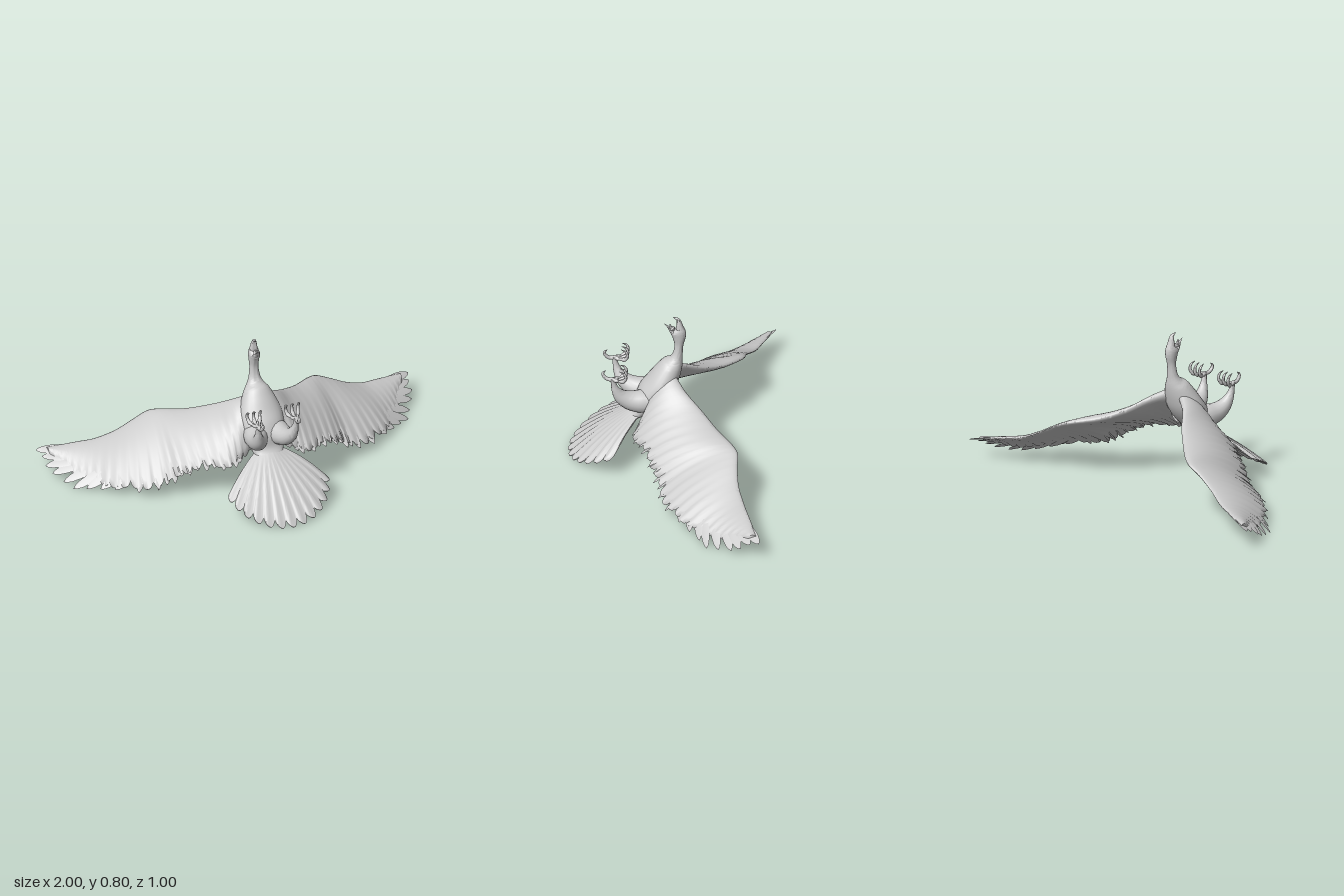
import * as THREE from 'three';
import { toCreasedNormals } from 'three/addons/utils/BufferGeometryUtils.js';

const V = (x, y, z) => new THREE.Vector3(x, y, z);
const material = new THREE.MeshStandardMaterial({ color: 0xcccccc, side: THREE.DoubleSide });

// Closed skin over a row of rings; m = -1 mirrors it across x
function loft(name, rings, m = 1) {
  const n = rings[0].length, pos = [], idx = [];
  const put = p => pos.push(p.x * m, p.y, p.z);
  rings.forEach(r => r.forEach(put));
  for (let i = 0; i + 1 < rings.length; i++) {
    for (let j = 0; j < n; j++) {
      const a = i * n + j, b = i * n + (j + 1) % n;
      idx.push(a, b, a + n, b, b + n, a + n);
    }
  }
  for (const end of [0, rings.length - 1]) {
    const c = pos.length / 3, mid = V(0, 0, 0);
    rings[end].forEach(p => mid.addScaledVector(p, 1 / n));
    put(mid);
    for (let j = 0; j < n; j++) {
      const a = end * n + j, b = end * n + (j + 1) % n;
      if (end) idx.push(a, b, c); else idx.push(b, a, c);
    }
  }
  // Turn all faces outward by the sign of the enclosed volume
  let vol = 0;
  const at = i => V(pos[i * 3], pos[i * 3 + 1], pos[i * 3 + 2]);
  for (let i = 0; i < idx.length; i += 3) vol += at(idx[i]).dot(at(idx[i + 1]).cross(at(idx[i + 2])));
  if (vol < 0) idx.reverse();
  const geo = new THREE.BufferGeometry();
  geo.setAttribute('position', new THREE.Float32BufferAttribute(pos, 3));
  geo.setIndex(idx);
  const mesh = new THREE.Mesh(toCreasedNormals(geo, 1.1), material);
  mesh.name = name;
  return mesh;
}

// Elliptic sections between a back line and a front line; row = [zBack, yBack, zFront, yFront, halfWidth]
function spine(rows, steps, sides = 24) {
  const back = new THREE.CatmullRomCurve3(rows.map(r => V(0, r[1], r[0])));
  const front = new THREE.CatmullRomCurve3(rows.map(r => V(r[4], r[3], r[2])));
  return Array.from({ length: steps + 1 }, (_, i) => {
    const a = back.getPoint(i / steps), b = front.getPoint(i / steps);
    const w = Math.max(b.x, 0.001);
    b.x = 0;
    return Array.from({ length: sides }, (_, j) => {
      const g = j / sides * Math.PI * 2;
      const p = a.clone().lerp(b, 0.5 - 0.5 * Math.cos(g));
      p.x = w * Math.sin(g);
      return p;
    });
  });
}

// Round limb of changing radius; row = [x, y, z, radius]
function limb(rows, steps, sides) {
  const curve = new THREE.CatmullRomCurve3(rows.map(r => V(r[0], r[1], r[2])));
  const radius = new THREE.CatmullRomCurve3(rows.map(r => V(r[3], 0, 0)));
  return Array.from({ length: steps + 1 }, (_, i) => {
    const u = i / steps, c = curve.getPoint(u), t = curve.getTangent(u);
    const r = Math.max(radius.getPoint(u).x, 0.0008);
    const s = t.clone().cross(V(1, 0, 0)).normalize(), q = t.clone().cross(s);
    return Array.from({ length: sides }, (_, j) => {
      const g = j / sides * Math.PI * 2;
      return c.clone().addScaledVector(s, r * Math.cos(g)).addScaledVector(q, r * Math.sin(g));
    });
  });
}

// Thin sheet: P(u, v) gives its middle, thick(u, v) its half thickness along dir
function sheet(P, thick, dir, nu, nv) {
  return Array.from({ length: nu + 1 }, (_, i) => {
    const u = i / nu, ring = [];
    for (let j = 0; j <= nv; j++) ring.push(P(u, j / nv).addScaledVector(dir, thick(u, j / nv)));
    for (let j = nv; j >= 0; j--) ring.push(P(u, j / nv).addScaledVector(dir, -thick(u, j / nv)));
    return ring;
  });
}

const wingUp = V(0, 0.85, 0.5).normalize();

// Single feather from a to b, half width w, lying in the plane of the wing
function feather(a, b, w) {
  const side = b.clone().sub(a).cross(wingUp).normalize();
  return [[0, 0.6], [0.3, 1], [0.6, 1], [0.8, 0.8], [0.93, 0.45], [1, 0.03]].map(([t, k]) => {
    const c = a.clone().lerp(b, t), h = 0.006 * (1 - t) + 0.001;
    return [c.clone().addScaledVector(side, w * k), c.clone().addScaledVector(wingUp, h),
      c.clone().addScaledVector(side, -w * k), c.clone().addScaledVector(wingUp, -h)];
  });
}

// 1 at a feather's tip, 0 in the notch between two feathers
const tipShape = k => 1 - Math.abs(2 * (k - Math.floor(k)) - 1) ** 2.5;

// Wing stations: leading edge, then trailing edge
const stations = [
  [0.02, 0.49, -0.03, 0.05, 0.27, 0.08], [0.12, 0.435, -0.095, 0.14, 0.23, 0.145],
  [0.2, 0.375, -0.18, 0.21, 0.215, 0.16], [0.3, 0.325, -0.265, 0.31, 0.2, 0.11],
  [0.4, 0.3, -0.345, 0.41, 0.16, 0.058], [0.45, 0.287, -0.37, 0.5, 0.095, 0.022],
  [0.53, 0.25, -0.373, 0.62, 0.065, -0.022], [0.62, 0.2, -0.383, 0.72, 0.053, -0.095],
  [0.72, 0.155, -0.415, 0.8, 0.042, -0.195], [0.8, 0.14, -0.44, 0.86, 0.04, -0.275],
  [0.88, 0.125, -0.465, 0.9, 0.065, -0.36], [0.95, 0.112, -0.485, 0.945, 0.09, -0.44],
];
const lead = new THREE.CatmullRomCurve3(stations.map(s => V(s[0], s[1], s[2])));
const trail = new THREE.CatmullRomCurve3(stations.map(s => V(s[3], s[4], s[5])));
function wingPoint(u, t) {
  const camber = 0.14 * (1 - 0.75 * u) * t * (1 - t);
  return lead.getPoint(u).lerp(trail.getPoint(u), t).addScaledVector(wingUp, camber);
}

function addWing(group, m) {
  const edge = u => 1 + 0.02 * Math.sin(u * 40) - (0.03 + 0.09 * u) * (1 - tipShape(u * 24));
  const surface = (u, v) => {
    const t = v ** 1.5 * edge(u);
    return wingPoint(u, t).addScaledVector(wingUp, 0.0025 * t * t * Math.sin(u * 24 * Math.PI * 2));
  };
  const thick = (u, v) => {
    const t = v ** 1.5;
    return (0.034 * (1 - u) ** 1.3 + 0.008) * 2.6 * Math.sqrt(t) * (1 - t) + 0.0012;
  };
  group.add(loft('wing', sheet(surface, thick, wingUp, 168, 14), m));

  // Long finger feathers: tip x, y, z, then root station and chord position
  const fingers = [
    [1, 0.1, -0.5, 0.86, 0.2], [0.985, 0.085, -0.455, 0.84, 0.45], [0.985, 0.058, -0.405, 0.8, 0.5],
    [0.965, 0.035, -0.36, 0.76, 0.55], [0.93, 0.015, -0.295, 0.7, 0.6], [0.9, 0.004, -0.235, 0.66, 0.65],
    [0.845, 0.015, -0.195, 0.62, 0.65], [0.79, 0.03, -0.145, 0.58, 0.7], [0.73, 0.045, -0.09, 0.54, 0.7],
  ];
  for (const [x, y, z, u, t] of fingers) {
    group.add(loft('fingerFeather', feather(wingPoint(u, t), V(x, y, z), 0.025), m));
  }
  // Short feathers along the inner trailing edge
  for (let i = 0; i < 14; i++) {
    const u = 0.1 + i * 0.034;
    group.add(loft('innerFeather', feather(wingPoint(u - 0.01, 0.72), wingPoint(u + 0.012, 1.02 + 0.03 * (i % 2)), 0.018), m));
  }
}

function addLeg(group, m) {
  group.add(loft('leg', limb([
    [0.05, 0.345, 0.05, 0.055], [0.06, 0.335, 0.12, 0.06], [0.073, 0.347, 0.185, 0.05],
    [0.086, 0.378, 0.23, 0.036], [0.096, 0.42, 0.255, 0.022], [0.1, 0.455, 0.265, 0.014],
    [0.103, 0.492, 0.27, 0.012],
  ], 28, 16), m));
  // Three toes curl up behind, one curls up in front
  for (const k of [-1, 0, 1]) {
    const x = 0.103;
    group.add(loft('toe', limb([
      [x, 0.488, 0.272, 0.01], [x + k * 0.016, 0.486, 0.245, 0.009], [x + k * 0.029, 0.494, 0.215, 0.009],
      [x + k * 0.034, 0.518, 0.203, 0.008], [x + k * 0.035, 0.54, 0.211, 0.006], [x + k * 0.032, 0.553, 0.235, 0.001],
    ], 18, 8), m));
  }
  group.add(loft('frontToe', limb([
    [0.103, 0.487, 0.265, 0.011], [0.1, 0.487, 0.295, 0.01], [0.098, 0.502, 0.315, 0.009],
    [0.097, 0.52, 0.32, 0.007], [0.097, 0.535, 0.305, 0.001],
  ], 16, 8), m));
}

export function createModel() {
  const model = new THREE.Group();
  model.name = 'bird';

  // Body, neck and head in one skin
  model.add(loft('body', spine([
    [0.2, 0.19, 0.215, 0.23, 0.06], [0.13, 0.225, 0.17, 0.275, 0.078], [0.06, 0.27, 0.16, 0.34, 0.1],
    [0, 0.33, 0.135, 0.4, 0.11], [-0.04, 0.39, 0.098, 0.45, 0.108], [-0.062, 0.45, 0.058, 0.505, 0.087],
    [-0.073, 0.5, 0.022, 0.545, 0.064], [-0.076, 0.53, -0.005, 0.558, 0.045], [-0.076, 0.565, -0.025, 0.582, 0.031],
    [-0.08, 0.635, -0.035, 0.637, 0.023], [-0.093, 0.69, -0.024, 0.685, 0.027], [-0.091, 0.72, -0.016, 0.708, 0.028],
    [-0.08, 0.745, -0.03, 0.722, 0.022],
  ], 72)));

  // Open hooked beak with tongue
  model.add(loft('upperBeak', spine([
    [-0.088, 0.728, -0.042, 0.712, 0.024], [-0.078, 0.75, -0.044, 0.745, 0.019], [-0.069, 0.775, -0.046, 0.772, 0.014],
    [-0.06, 0.79, -0.044, 0.784, 0.01], [-0.046, 0.797, -0.037, 0.789, 0.006], [-0.028, 0.799, -0.027, 0.798, 0.001],
  ], 20, 16)));
  model.add(loft('lowerBeak', spine([
    [-0.045, 0.715, -0.02, 0.698, 0.022], [-0.025, 0.728, -0.008, 0.72, 0.017],
    [-0.007, 0.742, -0.001, 0.738, 0.01], [0.017, 0.76, 0.018, 0.759, 0.001],
  ], 14, 16)));
  model.add(loft('tongue', limb([
    [0, 0.718, -0.03, 0.008], [0, 0.737, -0.018, 0.008], [0, 0.758, -0.012, 0.002],
  ], 8, 8)));

  // Fanned, arched tail with a jagged rim and feather ridges
  const tail = (u, v) => {
    const s = 2 * u - 1, g = 1.1 * s, k = u * 13;
    const reach = (0.368 - 0.06 * s * s) * (1 - 0.09 * (1 - tipShape(k)));
    const r = 0.03 + (reach - 0.03) * v, z = 0.13 + r * Math.cos(g);
    const arch = 0.055 * v * (1 - v) + 0.012 * v * (1 - s * s) - 0.04 * s * s * v;
    const y = 0.262 - 0.735 * (z - 0.13) + arch + 0.004 * v * Math.sin(k * Math.PI * 2);
    return V(r * Math.sin(g) + 0.05 * s * (1 - v), Math.max(y, 0.004), z);
  };
  const tailThick = (u, v) => 0.002 + 0.026 * (1 - v) * Math.sin(Math.PI * u);
  model.add(loft('tail', sheet(tail, tailThick, V(0, 0.81, 0.59), 130, 14)));

  for (const m of [1, -1]) {
    const wing = new THREE.Group(), leg = new THREE.Group();
    wing.name = m > 0 ? 'leftWing' : 'rightWing';
    leg.name = m > 0 ? 'leftLeg' : 'rightLeg';
    addWing(wing, m);
    addLeg(leg, m);
    model.add(wing, leg);
  }
  return model;
}
